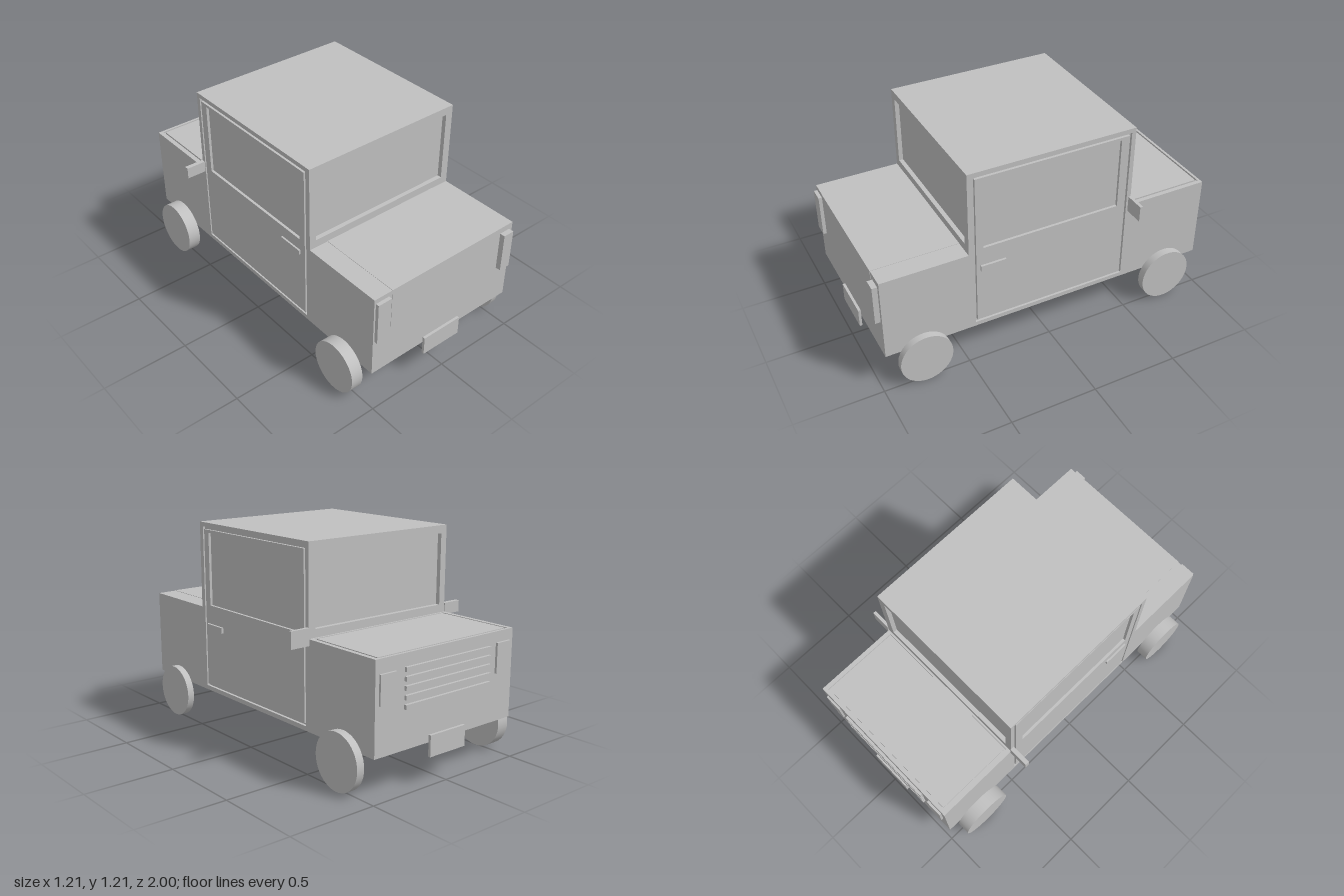
import * as THREE from 'three';

const grey = new THREE.MeshStandardMaterial({ color: 0xc0c0c0 });
grey.name = 'plain grey';

// Main limits of the body and cabin
const X0 = -0.49, X1 = 0.485;            // sides
const FLOOR = 0.225, DECK = 0.715, ROOF = 1.205;
const ZN = -0.985, ZP = 0.97;            // grille end, boot end
const CN = -0.495, CP = 0.48;            // cabin ends
const SKIN = 0.015, PANE = 0.025;        // depths of side and end recesses

export function createModel() {
  const car = new THREE.Group();
  car.name = 'boxyCar';

  function add(name, geometry) {
    const mesh = new THREE.Mesh(geometry, grey);
    mesh.name = name;
    car.add(mesh);
    return mesh;
  }

  // Box given by its limits
  function box(name, x0, x1, y0, y1, z0, z1) {
    const mesh = add(name, new THREE.BoxGeometry(x1 - x0, y1 - y0, z1 - z0));
    mesh.position.set((x0 + x1) / 2, (y0 + y1) / 2, (z0 + z1) / 2);
    return mesh;
  }

  const rect = (a0, a1, b0, b1) => [[a0, b0], [a1, b0], [a1, b1], [a0, b1]];
  const toVectors = (pts) => pts.map(([a, b]) => new THREE.Vector2(a, b));

  // Flat plate with an optional opening
  function plate(outline, hole, depth) {
    const shape = new THREE.Shape(toVectors(outline));
    if (hole) shape.holes.push(new THREE.Path(toVectors(hole)));
    return new THREE.ExtrudeGeometry(shape, { depth, bevelEnabled: false });
  }

  // Solid cores behind the skins
  box('lowerBody', X0 + SKIN, X1 - SKIN, FLOOR, DECK - 0.01, ZN, ZP);
  box('bootDeck', X0 + SKIN, X1 - SKIN, DECK - 0.01, DECK, CP, ZP);
  box('cabin', X0 + SKIN, X1 - SKIN, DECK - 0.01, ROOF, CN + PANE, CP - PANE);

  // Side skins with a door set in each, separated by a narrow groove
  const sideOutline = [
    [ZN, FLOOR], [ZP, FLOOR], [ZP, DECK], [CP, DECK],
    [CP, ROOF], [CN, ROOF], [CN, DECK], [ZN, DECK],
  ];
  const sideGeo = plate(sideOutline, rect(-0.47, 0.45, 0.25, 1.18), SKIN).rotateY(-Math.PI / 2);
  const doorGeo = plate(rect(-0.458, 0.438, 0.263, 1.166),
    rect(-0.41, 0.395, 0.735, 1.15), SKIN).rotateY(-Math.PI / 2);
  for (const [side, x] of [['left', X1], ['right', X0 + SKIN]]) {
    add(side + 'SidePanel', sideGeo).position.x = x;
    add(side + 'Door', doorGeo).position.x = x;
  }

  // Window frames at both ends of the cabin
  const frameGeo = plate(rect(X0 + SKIN, X1 - SKIN, DECK - 0.01, ROOF),
    rect(-0.45, 0.44, 0.76, 1.16), PANE);
  add('bootEndWindowFrame', frameGeo).position.z = CP - PANE;
  add('grilleEndWindowFrame', frameGeo).position.z = CN;

  // Bonnet with a seam around it
  const rim = plate(rect(X0 + SKIN, X1 - SKIN, -CN, -ZN),
    rect(X0 + 0.025, X1 - 0.025, -CN + 0.012, -ZN - 0.015), 0.01).rotateX(-Math.PI / 2);
  add('bonnetRim', rim).position.y = DECK - 0.01;
  box('bonnet', X0 + 0.035, X1 - 0.035, DECK - 0.01, DECK, ZN + 0.025, CN - 0.022);

  // Boot lid folding over the edge
  box('bootLidTop', -0.375, 0.37, DECK, DECK + 0.002, CP, ZP);
  box('bootLidBack', -0.375, 0.37, 0.455, DECK + 0.002, ZP, ZP + 0.002);

  // Lamps and plates
  box('rightTailLamp', -0.48, -0.395, 0.44, 0.688, ZP, 0.99);
  box('leftTailLamp', 0.395, 0.463, 0.45, 0.68, ZP, 1);
  box('rightHeadlamp', -0.46, -0.36, 0.49, 0.655, -0.998, ZN);
  box('leftHeadlamp', 0.355, 0.46, 0.485, 0.64, -0.996, ZN);
  box('bootEndPlate', -0.135, 0.12, 0.15, 0.26, ZP, 0.985);
  box('grilleEndPlate', -0.13, 0.12, 0.15, 0.265, -1, ZN);

  // Grille bars
  for (let i = 0; i < 5; i++) {
    const y = 0.435 + i * 0.047;
    box('grilleBar' + (i + 1), -0.31, 0.295, y, y + 0.024, -1, ZN);
  }

  // Door handles and mirrors
  box('leftDoorHandle', X1, 0.498, 0.595, 0.628, 0.27, 0.415);
  box('rightDoorHandle', -0.5, X0, 0.64, 0.668, 0.25, 0.4);
  box('leftMirror', X1, 0.6, 0.68, 0.773, -0.5, -0.482);
  box('rightMirror', -0.605, X0, 0.7, 0.765, -0.5, -0.475);

  // Wheels: inner x, outer x, radius, z
  const wheels = [
    ['leftBootEndWheel', X1, 0.525, 0.15, 0.755],
    ['rightBootEndWheel', -0.56, X0, 0.148, 0.755],
    ['leftGrilleEndWheel', X1, 0.53, 0.156, -0.76],
    ['rightGrilleEndWheel', -0.565, X0, 0.155, -0.765],
  ];
  for (const [name, x0, x1, r, z] of wheels) {
    const geo = new THREE.CylinderGeometry(r, r, x1 - x0, 48).rotateZ(Math.PI / 2);
    add(name, geo).position.set((x0 + x1) / 2, r, z);
  }

  return car;
}
